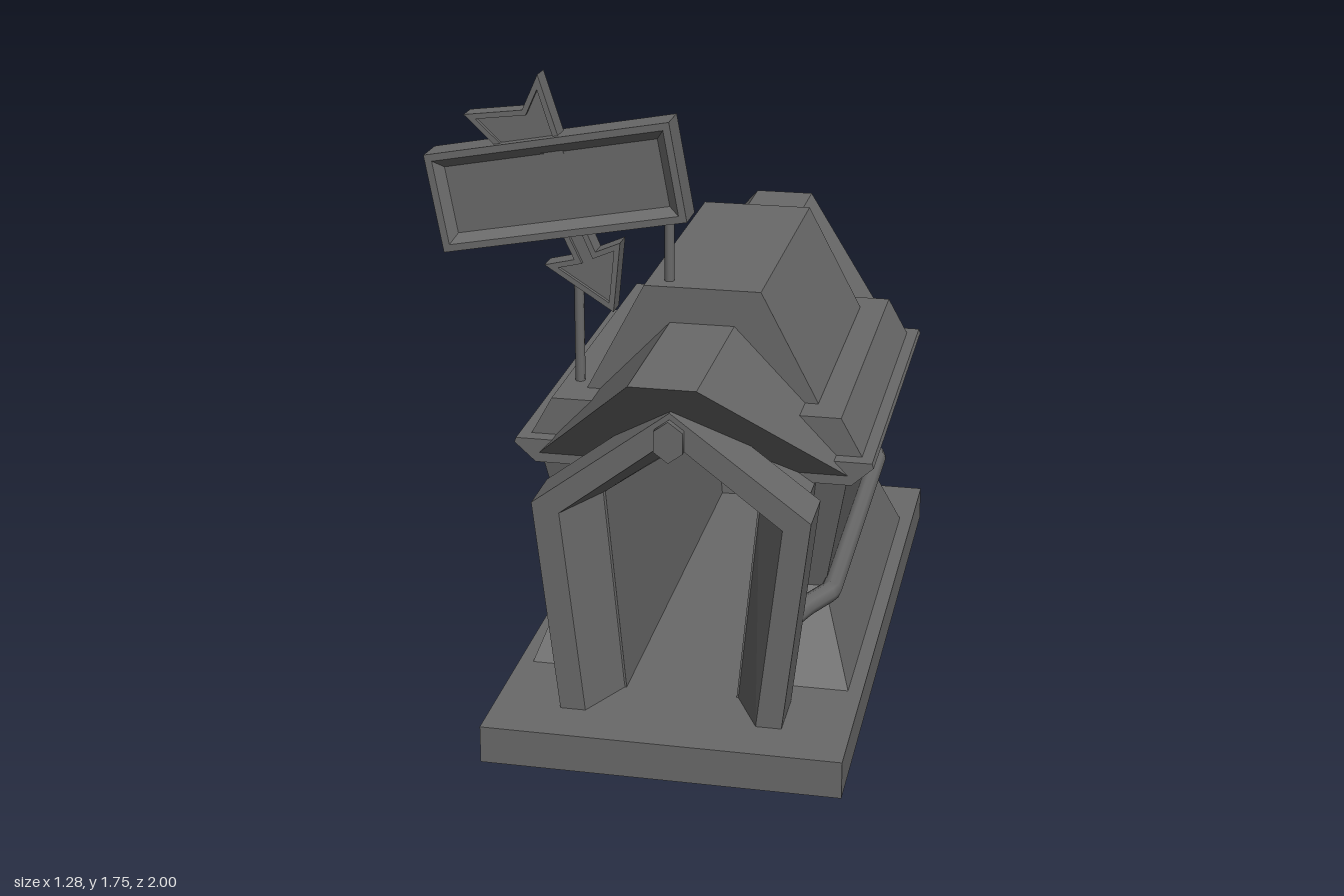
import * as THREE from 'three';

const CX = 0.14; // centre line of the building
const FLOOR = 0.105;

export function createModel() {
  const model = new THREE.Group();
  const building = new THREE.Group();
  building.name = 'building';
  building.position.x = CX;
  model.add(building);
  const grey = new THREE.MeshStandardMaterial({ color: 0x696969 });
  grey.name = 'plain grey';

  const add = (parent, name, geometry, x = 0, y = 0, z = 0) => {
    const mesh = new THREE.Mesh(geometry, grey);
    mesh.name = name;
    mesh.position.set(x, y, z);
    parent.add(mesh);
    return mesh;
  };

  const v2 = (pts) => pts.map(([x, y]) => new THREE.Vector2(x, y));

  // Straight prism of an x-y outline between two z values
  const prism = (pts, z0, z1, hole) => {
    const shape = new THREE.Shape(v2(pts));
    if (hole) shape.holes.push(new THREE.Path(v2(hole)));
    return new THREE.ExtrudeGeometry(shape, { depth: z1 - z0, bevelEnabled: false }).translate(0, 0, z0);
  };

  // Flat-faced skin through closed rings of equal point count
  const loft = (rings) => {
    const pos = [];
    for (let i = 0; i < rings.length - 1; i++) {
      const n = rings[i].length;
      for (let j = 0; j < n; j++) {
        const k = (j + 1) % n;
        const a = rings[i][j], b = rings[i][k], c = rings[i + 1][k], d = rings[i + 1][j];
        pos.push(...a, ...b, ...c, ...a, ...c, ...d);
      }
    }
    const g = new THREE.BufferGeometry();
    g.setAttribute('position', new THREE.Float32BufferAttribute(pos, 3));
    g.computeVertexNormals();
    return g;
  };

  // House-shaped ring: half width at floor, half width at shoulder, heights
  const house = (foot, shoulder, y, apex, z) => [
    [foot, FLOOR, z], [shoulder, y, z], [0, apex, z], [-shoulder, y, z], [-foot, FLOOR, z],
  ];

  // Base slab
  add(building, 'base', new THREE.BoxGeometry(0.98, FLOOR, 1.91), 0, FLOOR / 2, 0.04);

  // Hollow inner hall
  const hall = [
    house(0.27, 0.34, 0.7, 0.93, -0.75), house(0.27, 0.34, 0.7, 0.93, 0.69),
    house(0.155, 0.21, 0.69, 0.835, 0.69), house(0.155, 0.21, 0.69, 0.835, -0.75),
  ];
  add(building, 'hall', loft([...hall, hall[0]]));

  // Front portal with a funnelled opening
  const portal = [
    house(0.305, 0.375, 0.705, 0.985, 0.68), house(0.305, 0.375, 0.705, 0.985, 0.845),
    house(0.235, 0.3, 0.68, 0.91, 0.845), house(0.155, 0.21, 0.685, 0.835, 0.68),
  ];
  add(building, 'portal', loft([...portal, portal[0]]));

  // Six-sided ridge beam end above the opening
  const beam = add(building, 'ridgeBeam', new THREE.CylinderGeometry(0.05, 0.05, 0.18, 6), 0, 0.91, 0.775);
  beam.rotation.x = Math.PI / 2;
  beam.scale.set(0.9, 1, 1.15);

  // Solid back wall
  add(building, 'backWall', prism(house(0.305, 0.375, 0.705, 0.985, 0), -0.905, -0.745));

  // Lower roof, its ends raked back from the ridge to the eaves
  const roof = prism([
    [0.43, 0.73], [0.09, 1.085], [-0.09, 1.085], [-0.43, 0.73], [-0.25, 0.73], [0, 0.88], [0.25, 0.73],
  ], -1, 1).toNonIndexed();
  const p = roof.attributes.position;
  for (let i = 0; i < p.count; i++) {
    const rake = (1.085 - p.getY(i)) * 1.085;
    p.setZ(i, p.getZ(i) > 0 ? 0.94 - rake : -1 + rake);
  }
  roof.computeVertexNormals();
  add(building, 'lowerRoof', roof);

  // Upper roof
  add(building, 'upperRoof', prism([
    [0.33, 0.86], [0.325, 0.88], [0.163, 1.187], [-0.163, 1.187], [-0.325, 0.88], [-0.33, 0.86],
  ], -0.465, 0.41));

  for (const s of [1, -1]) {
    const side = s > 0 ? 'left' : 'right';

    // Side wall, pinched at the rail: [height, half width, half length]
    const rings = [[FLOOR, 0.45, 0.62], [0.35, 0.36, 0.475], [0.72, 0.428, 0.562]].map(([y, x, z]) => {
      const ring = [[x * s, y, z - 0.03], [x * s, y, -z - 0.03], [0.25 * s, y, -z - 0.03], [0.25 * s, y, z - 0.03]];
      return s > 0 ? ring : ring.reverse();
    });
    add(building, side + 'Wall', loft(rings));

    // Eave and gutter
    add(building, side + 'Eave', prism(
      [[0.465 * s, 0.765], [0.403 * s, 0.877], [0.285 * s, 0.877], [0.285 * s, 0.765]], -0.565, 0.51));
    add(building, side + 'Gutter', prism(
      [[0.495 * s, 0.77], [0.5 * s, 0.757], [0.44 * s, 0.703], [0.26 * s, 0.703], [0.26 * s, 0.77]], -0.61, 0.555));

    // Rail, bent in to the portal and the back wall
    const rail = new THREE.CurvePath();
    const pts = [[0.3, 0.69], [0.33, 0.6], [0.383, 0.49], [0.383, -0.54], [0.33, -0.65], [0.3, -0.75]]
      .map(([x, z]) => new THREE.Vector3(x * s, 0.358, z));
    for (let i = 0; i < pts.length - 1; i++) rail.add(new THREE.LineCurve3(pts[i], pts[i + 1]));
    add(building, side + 'Rail', new THREE.TubeGeometry(rail, 60, 0.029, 8, false));
  }

  // Sign box with a sunken front panel
  const sign = new THREE.Group();
  sign.name = 'sign';
  sign.position.set(-0.273, 1.445, 0.35);
  sign.rotation.z = 0.18;
  model.add(sign);
  const rect = (w, h, z) => [[w, -h, z], [w, h, z], [-w, h, z], [-w, -h, z]];
  add(sign, 'signFrame', loft([
    rect(0.35, 0.14, -0.053), rect(0.35, 0.14, 0.053), rect(0.33, 0.12, 0.053), rect(0.305, 0.095, 0.03),
  ]));
  add(sign, 'signPanel', new THREE.BoxGeometry(0.698, 0.278, 0.083), 0, 0, -0.0115);

  // Posts
  for (const [x, y0, y1] of [[-0.22, 0.86, 1.35], [0.037, 1.17, 1.45]]) {
    add(model, 'signPost', new THREE.CylinderGeometry(0.014, 0.014, y1 - y0, 10), x, (y0 + y1) / 2, 0.35);
  }

  // Counter-clockwise outline moved inward by d
  const inset = (pts, d) => pts.map((b, i) => {
    const a = pts[(i + pts.length - 1) % pts.length], c = pts[(i + 1) % pts.length];
    const normal = (u, v) => new THREE.Vector2(u[1] - v[1], v[0] - u[0]).normalize();
    const n1 = normal(a, b), n2 = normal(b, c);
    const m = n1.clone().add(n2).multiplyScalar(d / (1 + n1.dot(n2)));
    return [b[0] + m.x, b[1] + m.y];
  });

  // Star burst above the sign and arrow below it, each with a raised rim
  const ornaments = {
    starBurst: [[-0.25, 1.54], [-0.32, 1.755], [-0.365, 1.655], [-0.53, 1.635], [-0.42, 1.53]],
    arrow: [[-0.27, 1.335], [-0.225, 1.24], [-0.31, 1.22], [-0.115, 1.095], [-0.095, 1.295], [-0.165, 1.265], [-0.2, 1.345]],
  };
  for (const [name, pts] of Object.entries(ornaments)) {
    add(model, name + 'Rim', prism(pts, 0.317, 0.383, inset(pts, 0.015)));
    add(model, name + 'Panel', prism(inset(pts, 0.008), 0.33, 0.37));
  }

  return model;
}
